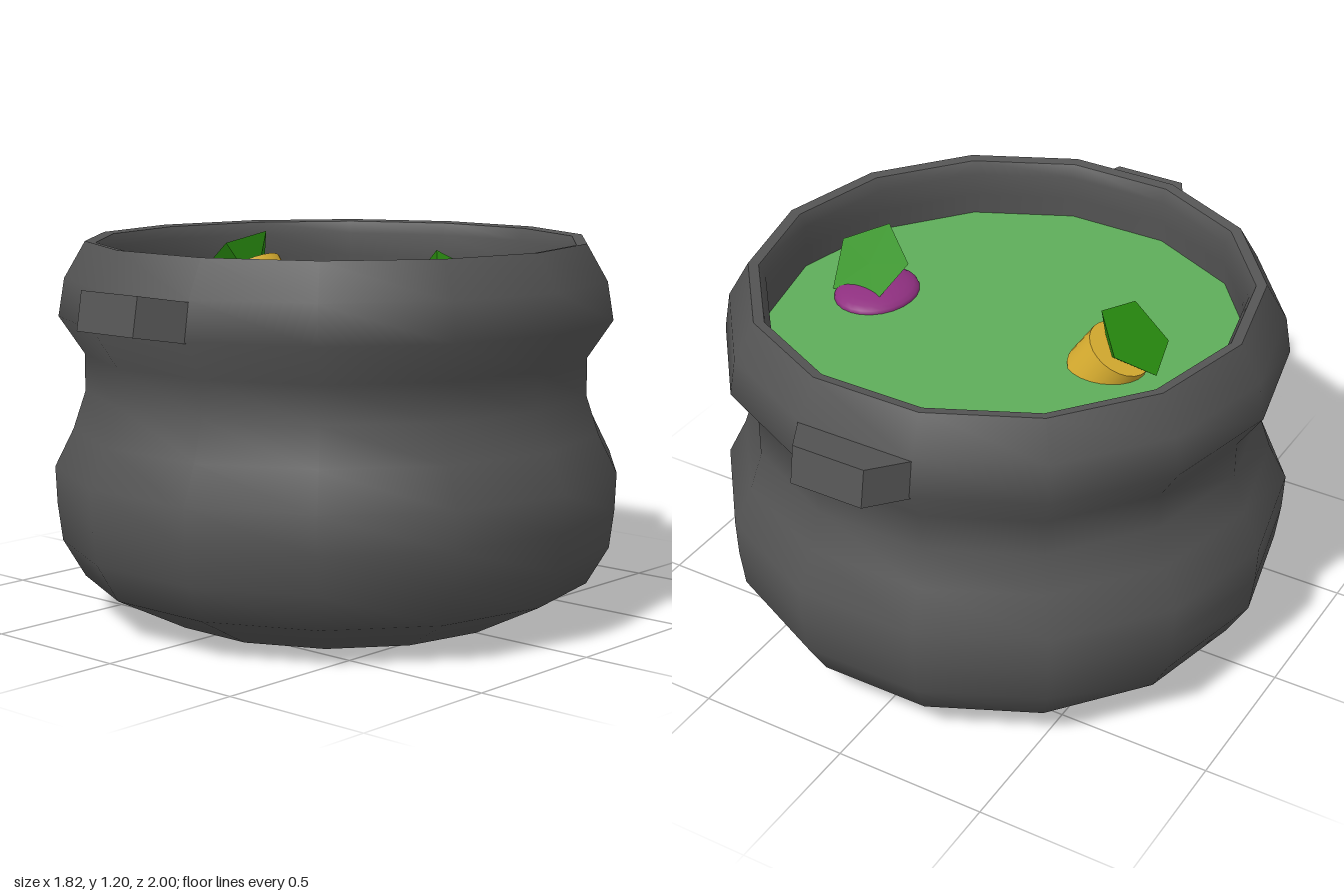
import * as THREE from 'three';

const SIDES = 14;
const UP = new THREE.Vector3(0, 1, 0);

const paint = (color, flatShading = false) =>
  new THREE.MeshStandardMaterial({ color, flatShading });

const iron = paint(0x555555);
const ironFlat = paint(0x555555, true);
const broth = paint(0x5fae5a);
const leafGreen = paint(0x2a8f10, true);

function part(name, geometry, material) {
  const mesh = new THREE.Mesh(geometry, material);
  mesh.name = name;
  return mesh;
}

// Turn a pairs-of-[radius, height] profile into a 14-sided ring, corners on the x axis
function turned(profile) {
  const points = profile.map(([r, y]) => new THREE.Vector2(r, y));
  return new THREE.LatheGeometry(points, SIDES, Math.PI / 2);
}

// Point a mesh's y axis along a direction, with its middle at a position
function aim(mesh, position, direction) {
  mesh.position.set(...position);
  mesh.quaternion.setFromUnitVectors(UP, new THREE.Vector3(...direction).normalize());
  return mesh;
}

// Five-sided leaf tuft: a cone whose broad end is at `centre`, facing along `normal`
function leaf(name, centre, normal, radius, length, start) {
  const geometry = new THREE.ConeGeometry(radius, length, 5, 1, false, start);
  geometry.translate(0, length / 2, 0);
  return aim(part(name, geometry, leafGreen), centre, normal.map((v) => -v));
}

// Tapered grip, tilted upward away from the pot
function handle(name) {
  const shape = new THREE.Shape([
    new THREE.Vector2(-0.21, -0.02),
    new THREE.Vector2(0.21, -0.02),
    new THREE.Vector2(0.12, 0.14),
    new THREE.Vector2(-0.12, 0.14),
  ]);
  const geometry = new THREE.ExtrudeGeometry(shape, { depth: 0.12, bevelEnabled: false });
  geometry.translate(0, 0, -0.12);
  geometry.rotateX(Math.PI / 2 - 0.17); // lay flat, outer end pointing to +z
  const mesh = part(name, geometry, ironFlat);
  mesh.position.set(0, 0.953, 0.861);
  const pivot = new THREE.Group();
  pivot.name = name + 'Pivot';
  pivot.add(mesh);
  return pivot;
}

export function createModel() {
  const model = new THREE.Group();
  model.name = 'stewPot';

  // Pot: bulging wall, rolled rim with inner wall, flat base
  model.add(part('potWall', turned([
    [0.58, 0], [0.82, 0.12], [0.89, 0.24], [0.905, 0.36], [0.91, 0.48], [0.85, 0.6],
    [0.81, 0.72], [0.81, 0.84], [0.89, 0.96], [0.87, 1.08], [0.803, 1.195],
  ]), iron));
  model.add(part('rim', turned([[0.803, 1.195], [0.77, 1.19]]), iron));
  model.add(part('innerWall', turned([
    [0.77, 1.19], [0.75, 1.15], [0.755, 1.07], [0.76, 0.98],
  ]), iron));

  const base = part('base', new THREE.CircleGeometry(0.58, SIDES), iron);
  base.rotation.x = Math.PI / 2;
  model.add(base);

  // Handles at front and back
  const front = handle('frontHandle');
  const back = handle('backHandle');
  back.rotation.y = Math.PI;
  model.add(front, back);

  // Stew surface
  const stew = part('stew', new THREE.CircleGeometry(0.76, SIDES), broth);
  stew.rotation.x = -Math.PI / 2;
  stew.position.y = 1;
  model.add(stew);

  // Yellow root leaning to the model's right
  model.add(aim(
    part('yellowRoot', new THREE.CylinderGeometry(0.105, 0.115, 0.13, 24), paint(0xd9ae30)),
    [-0.385, 1.015, -0.025], [-0.5, 0.86, 0]));
  model.add(leaf('yellowRootLeaf', [-0.455, 1.11, 0], [-0.66, 0.75, 0], 0.135, 0.13, Math.PI));

  // Purple root, only its crown above the stew
  const purple = part('purpleRoot', new THREE.SphereGeometry(1, 24, 12), paint(0x8f3080));
  purple.scale.set(0.13, 0.04, 0.155);
  purple.position.set(0.47, 1, -0.015);
  model.add(purple);
  model.add(leaf('purpleRootLeaf', [0.5, 1.09, -0.01], [0.1, 0.72, -0.68], 0.145, 0.12,
    Math.PI / 2 + 0.15));

  return model;
}
